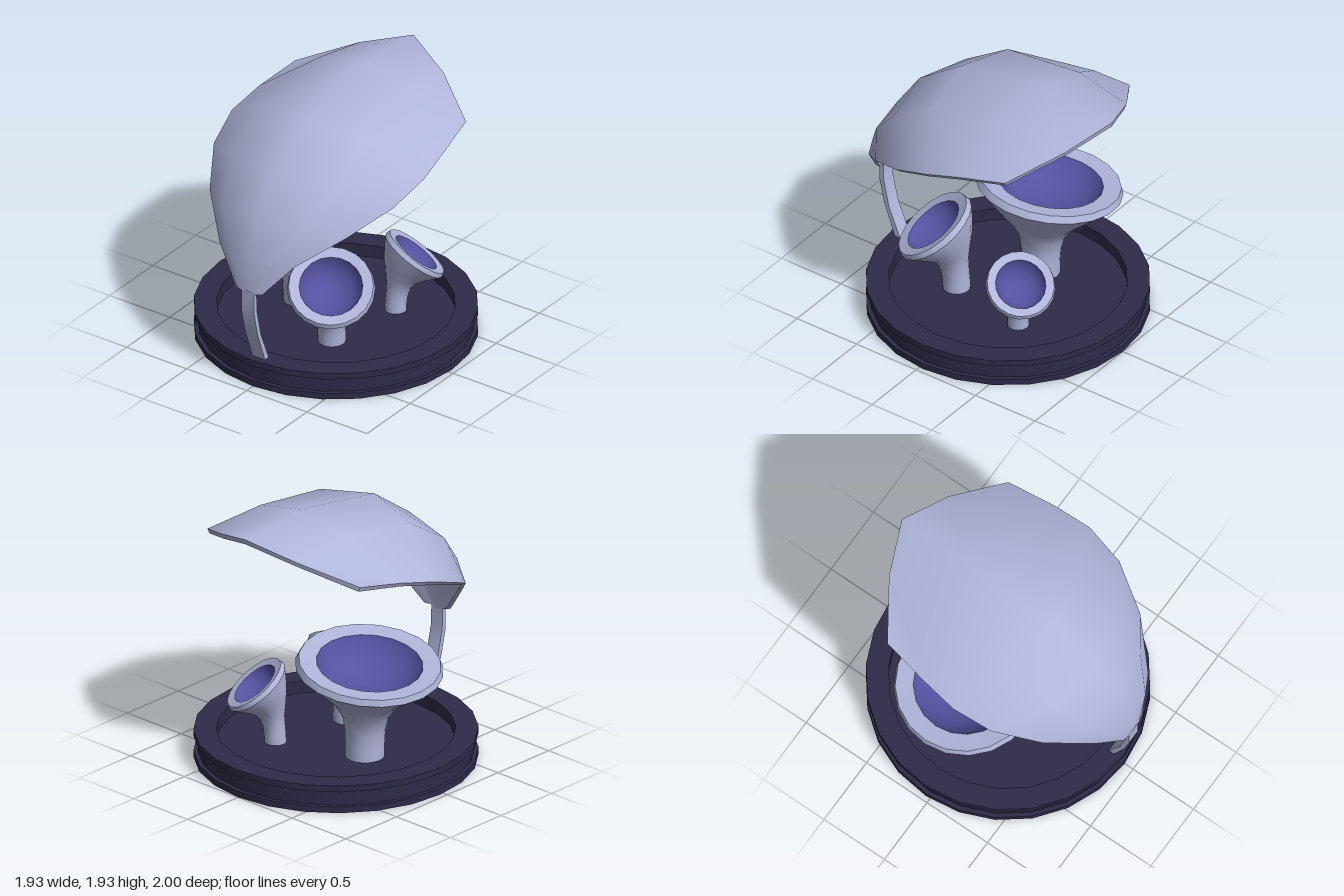
import * as THREE from 'three';
import { toCreasedNormals } from 'three/addons/utils/BufferGeometryUtils.js';

const V = (x, y, z) => new THREE.Vector3(x, y, z);
const lathe = (pts, segments) =>
  new THREE.LatheGeometry(pts.map(([r, y]) => new THREE.Vector2(r, y)), segments);

export function createModel() {
  const group = new THREE.Group();
  const pale = new THREE.MeshStandardMaterial({ name: 'pale lavender', color: 0xb0b5da });
  const dark = new THREE.MeshStandardMaterial({ name: 'dark indigo', color: 0x2d2b49 });
  const violet = new THREE.MeshStandardMaterial({ name: 'violet', color: 0x5552a2 });

  const add = (parent, name, geometry, material, crease = 0.55) => {
    const mesh = new THREE.Mesh(toCreasedNormals(geometry, crease), material);
    mesh.name = name;
    parent.add(mesh);
  };

  // Round base: grooved side and recessed floor
  const base = lathe([
    [0, 0], [0.965, 0], [0.965, 0.045], [0.935, 0.045], [0.935, 0.155],
    [0.965, 0.155], [0.965, 0.2], [0.81, 0.2], [0.81, 0.11], [0, 0.11],
  ], 24);
  base.translate(0, 0, -0.035);
  add(group, 'base', base, dark);

  // Cups: lathes whose height 0..1 is bent along a curve from foot to rim
  const addCup = (name, foot, rim, facing, stem, R) => {
    const curve = new THREE.QuadraticBezierCurve3(
      foot, V(foot.x, foot.y + 0.55 * (rim.y - foot.y), foot.z), rim);
    const tilt = new THREE.Quaternion().setFromUnitVectors(V(0, 1, 0), facing.normalize());
    const bend = (geometry) => {
      const pos = geometry.attributes.position;
      for (let i = 0; i < pos.count; i++) {
        const t = pos.getY(i);
        const turn = new THREE.Quaternion().slerp(tilt, THREE.MathUtils.smoothstep(t, 0.2, 1));
        const p = V(pos.getX(i), 0, pos.getZ(i)).applyQuaternion(turn).add(curve.getPoint(t));
        pos.setXYZ(i, p.x, p.y, p.z);
      }
      return geometry;
    };
    const cup = new THREE.Group();
    cup.name = name;
    const flare = [[0, 0], [0.12, 0], [0.25, 0.01], [0.4, 0.07], [0.55, 0.26],
      [0.7, 0.55], [0.83, 0.81], [0.93, 1]];
    const body = flare.map(([t, s]) => [stem + s * (R - stem), t]);
    body.push([R * 0.96, 1], [R * 0.72, 0.985]);
    add(cup, name + 'Body', bend(lathe(body, 20)), pale);
    const bowl = [[0.72, 0.985], [0.66, 0.9], [0.52, 0.81], [0.3, 0.74], [0, 0.71]];
    add(cup, name + 'Bowl', bend(lathe(bowl.map(([r, t]) => [r * R, t]), 20)), violet, 1);
    group.add(cup);
  };
  addCup('largeCup', V(-0.31, 0.11, -0.08), V(-0.385, 0.83, -0.11), V(-0.15, 1, -0.05), 0.135, 0.505);
  addCup('frontCup', V(0.18, 0.11, 0.265), V(0.27, 0.625, 0.4), V(0.34, 0.8, 0.5), 0.095, 0.3);
  addCup('backCup', V(0.285, 0.11, -0.33), V(0.39, 0.545, -0.43), V(0.4, 0.78, -0.48), 0.075, 0.24);

  // Curved stalk of the hood
  const stalk = new THREE.Shape([
    [0.825, 0.19], [0.87, 0.19], [0.96, 0.44], [1.0, 0.62], [1.0, 0.78],
    [0.97, 0.78], [0.965, 0.62], [0.92, 0.42],
  ].map(([z, y]) => new THREE.Vector2(z, y)));
  const stalkGeometry = new THREE.ExtrudeGeometry(stalk, { depth: 0.105, bevelEnabled: false });
  stalkGeometry.rotateY(-Math.PI / 2).translate(0.06, 0, 0);
  add(group, 'stalk', stalkGeometry, pale);

  // Leaf-shaped hood, rows from stalk to tip: middle (y, z), half way and edge (x, y, z)
  const rows = [
    [[0.76, 1.0], [0.06, 0.77, 1.0], [0.11, 0.78, 0.99]],
    [[1.01, 0.985], [0.17, 1.015, 0.975], [0.31, 1.02, 0.9]],
    [[1.28, 0.89], [0.32, 1.27, 0.83], [0.57, 1.22, 0.65]],
    [[1.56, 0.7], [0.41, 1.52, 0.61], [0.75, 1.38, 0.35]],
    [[1.81, 0.35], [0.42, 1.74, 0.27], [0.8, 1.49, 0.07]],
    [[1.93, -0.38], [0.38, 1.84, -0.36], [0.77, 1.56, -0.2]],
    [[1.88, -0.92], [0.35, 1.77, -0.78], [0.71, 1.62, -0.54]],
  ];
  const cols = 5;
  const outer = rows.flatMap(([[y, z], half, edge]) => [
    V(-edge[0], edge[1], edge[2]), V(-half[0], half[1], half[2]), V(0, y, z),
    V(...half), V(...edge),
  ]);
  const faces = [];
  const quad = (a, b, c, d) => faces.push(a, b, c, a, c, d);
  for (let r = 0; r < rows.length - 1; r++) {
    for (let c = 0; c < cols - 1; c++) {
      const a = r * cols + c;
      quad(a, a + 1, a + cols + 1, a + cols);
    }
  }
  const sheet = new THREE.BufferGeometry().setFromPoints(outer).setIndex([...faces]);
  sheet.computeVertexNormals();

  // Underside is the same sheet moved inwards, joined by a rim
  const inner = outer.map((p, i) => p.clone().addScaledVector(
    new THREE.Vector3().fromBufferAttribute(sheet.attributes.normal, i), -0.035));
  const n = outer.length;
  const top = [...faces];
  for (let i = 0; i < top.length; i += 3) faces.push(top[i] + n, top[i + 2] + n, top[i + 1] + n);
  const border = [];
  for (let c = 0; c < cols; c++) border.push(c);
  for (let r = 1; r < rows.length; r++) border.push(r * cols + cols - 1);
  for (let c = cols - 2; c >= 0; c--) border.push((rows.length - 1) * cols + c);
  for (let r = rows.length - 2; r > 0; r--) border.push(r * cols);
  border.forEach((a, i) => {
    const b = border[(i + 1) % border.length];
    quad(a, a + n, b + n, b);
  });
  const hood = new THREE.BufferGeometry().setFromPoints([...outer, ...inner]).setIndex(faces);
  hood.translate(0.01, 0, 0);
  add(group, 'hood', hood, pale, 0.75);

  return group;
}
